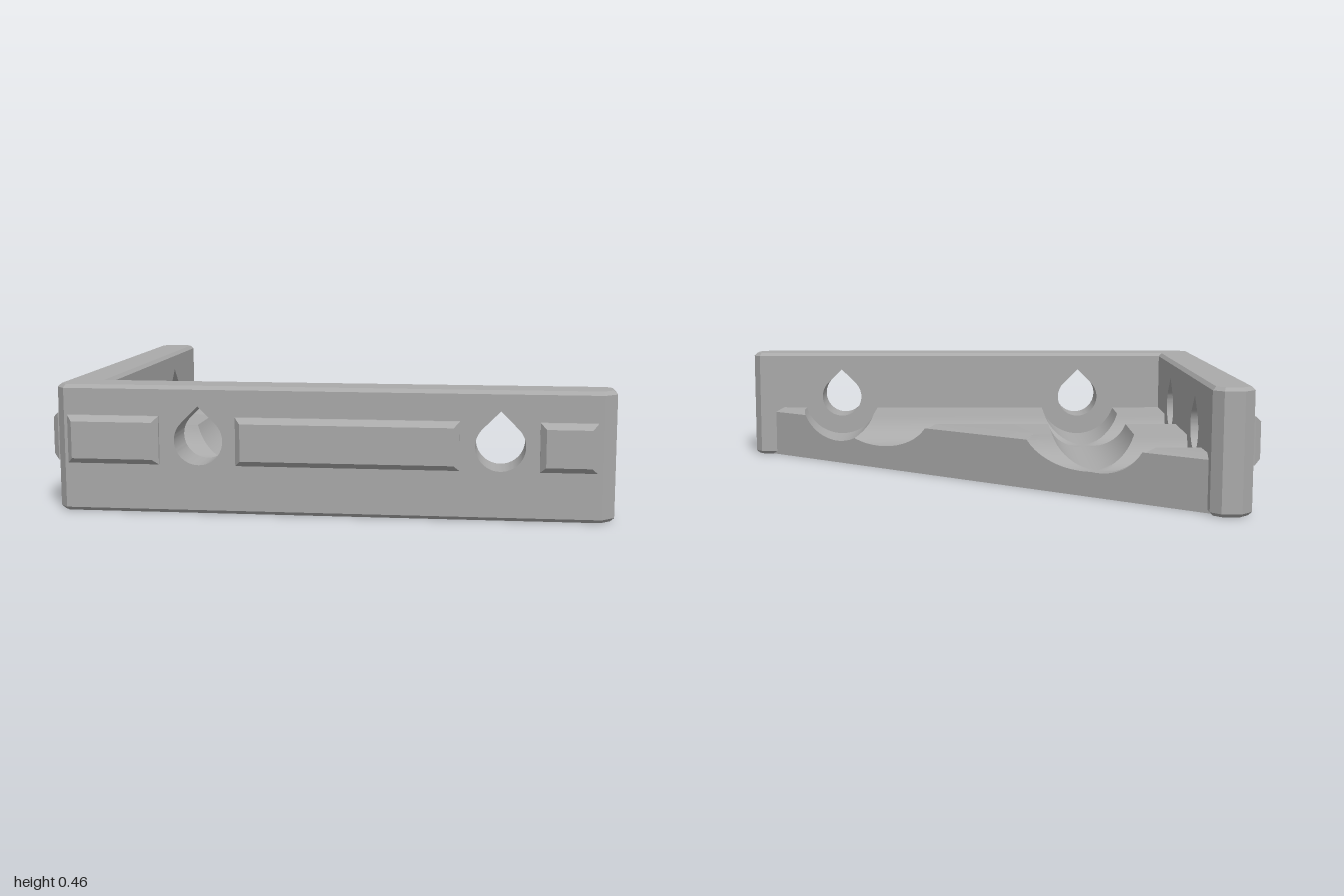
import * as THREE from 'three';
import { toCreasedNormals } from 'three/addons/utils/BufferGeometryUtils.js';

const plastic = new THREE.MeshStandardMaterial({ color: 0xaaaaaa });
plastic.name = 'grey plastic';

const HEIGHT = 0.457, BEVEL = 0.013;
const HOLE_Y = 0.262, HOLE_R = 0.087;
const GROOVE_R = 0.167, GROOVE_HALF = 0.159;
const FLOOR_Y = 0.215, RIM_Y = 0.192, RIM_W = 0.022;
const X_HOLES = [-0.455, 0.605], Z_HOLES = [-0.38, 0.225];

function mesh(name, geometry) {
  const m = new THREE.Mesh(toCreasedNormals(geometry, 0.45), plastic);
  m.name = name;
  return m;
}

const shapeOf = (pts) => new THREE.Shape(pts.map(([a, b]) => new THREE.Vector2(a, b)));

// Vertical prism over an [x, z] footprint
function upright(name, footprint, y, height, bevel = 0) {
  const g = new THREE.ExtrudeGeometry(shapeOf(footprint.map(([x, z]) => [x, -z])), {
    depth: height, bevelEnabled: bevel > 0, bevelThickness: bevel,
    bevelSize: bevel, bevelOffset: -bevel, bevelSegments: 1,
  });
  g.rotateX(-Math.PI / 2).translate(0, y, 0);
  return mesh(name, g);
}

const rect = (u0, u1, y0, y1) => shapeOf([[u0, y0], [u1, y0], [u1, y1], [u0, y1]]);

// Wall panel with teardrop screw holes, facing +z
function panel(name, u0, u1, w0, w1, holes) {
  const s = rect(u0, u1, BEVEL, HEIGHT - BEVEL);
  for (const u of holes) {
    const p = new THREE.Path();
    p.absarc(u, HOLE_Y, HOLE_R, Math.PI * 0.75, Math.PI * 2.25, false);
    p.lineTo(u, HOLE_Y + HOLE_R * Math.SQRT2);
    p.closePath();
    s.holes.push(p);
  }
  const g = new THREE.ExtrudeGeometry(s, { depth: w1 - w0, bevelEnabled: false, curveSegments: 28 });
  return mesh(name, g.translate(0, 0, w0));
}

// Raised key with sloping edges, facing +z
function key(name, u0, u1, w) {
  const g = new THREE.ExtrudeGeometry(rect(u0, u1, 0.177, 0.349), {
    depth: 0.02, bevelThickness: 0.022, bevelSize: 0.02, bevelOffset: -0.02, bevelSegments: 1,
  });
  return mesh(name, g.translate(0, 0, w - 0.012));
}

// Distance inside the sloping open edge of the floor
const inside = ([x, z]) => (z + 0.69 - 0.74 * (x + 0.82)) / 1.244;

// Floor height: flat, cut by round grooves both ways, chamfered at the open edge
function floorHeight([x, z]) {
  let y = Math.min(FLOOR_Y, RIM_Y + Math.max(0, inside([x, z])) * (FLOOR_Y - RIM_Y) / RIM_W);
  const cut = (d) => {
    if (Math.abs(d) < GROOVE_HALF + 1e-6) y = Math.min(y, HOLE_Y - Math.sqrt(GROOVE_R ** 2 - d * d));
  };
  X_HOLES.forEach((c) => cut(x - c));
  Z_HOLES.forEach((c) => cut(z - c));
  return y;
}

// Keep the part of a polygon where f >= 0
function clip(poly, f) {
  const out = [];
  poly.forEach((p, i) => {
    const q = poly[(i + 1) % poly.length], a = f(p), b = f(q);
    if (a >= 0) out.push(p);
    if ((a > 0 && b < 0) || (a < 0 && b > 0)) {
      const t = a / (a - b);
      out.push([p[0] + (q[0] - p[0]) * t, p[1] + (q[1] - p[1]) * t]);
    }
  });
  return out;
}

function groovedFloor() {
  const pos = [];
  const tri = (...v) => v.forEach((p) => pos.push(...p));
  const steps = (lo, centres, hi) => {
    const list = [lo], phi = Math.asin(GROOVE_HALF / GROOVE_R), n = 20;
    for (const c of centres) {
      for (let i = 0; i <= n; i++) list.push(c + GROOVE_R * Math.sin(phi * (2 * i / n - 1)));
    }
    return [...list, hi];
  };
  const nearest = (v, list) => v - list.reduce((a, b) => (Math.abs(v - a) < Math.abs(v - b) ? a : b));
  const low = ([x, z]) => [x, 0, z];
  const high = (p) => [p[0], floorHeight(p), p[1]];

  // Top surface and the upright face along the open edge
  function addPiece(poly) {
    for (let i = 1; i + 1 < poly.length; i++) tri(high(poly[0]), high(poly[i]), high(poly[i + 1]));
    poly.forEach((p, i) => {
      const q = poly[(i + 1) % poly.length];
      if (Math.abs(inside(p)) > 1e-6 || Math.abs(inside(q)) > 1e-6) return;
      tri(low(p), low(q), high(q));
      tri(low(p), high(q), high(p));
    });
  }
  const xs = steps(-0.9, X_HOLES, 1.0), zs = steps(-0.77, Z_HOLES, 0.65);
  for (let i = 0; i + 1 < xs.length; i++) {
    for (let j = 0; j + 1 < zs.length; j++) {
      const a = [xs[i], zs[j]], b = [xs[i], zs[j + 1]];
      const c = [xs[i + 1], zs[j + 1]], d = [xs[i + 1], zs[j]];
      const mx = nearest((a[0] + c[0]) / 2, X_HOLES), mz = nearest((a[1] + c[1]) / 2, Z_HOLES);
      const halves = mx * mz > 0 ? [[a, b, c], [a, c, d]] : [[a, b, d], [b, c, d]];
      for (const half of halves) {
        addPiece(clip(half, (p) => inside(p) - RIM_W));
        addPiece(clip(clip(half, inside), (p) => RIM_W - inside(p)));
      }
    }
  }
  // Underside
  const under = clip([[-0.9, -0.77], [-0.9, 0.65], [1.0, 0.65], [1.0, -0.77]], inside);
  for (let i = 1; i + 1 < under.length; i++) tri(low(under[0]), low(under[i + 1]), low(under[i]));

  const g = new THREE.BufferGeometry();
  g.setAttribute('position', new THREE.Float32BufferAttribute(pos, 3));
  return mesh('groovedFloor', g);
}

export function createModel() {
  const model = new THREE.Group();
  model.name = 'cornerBracket';

  // Footprints of the wall corner and the two wall ends
  const corner = [[-0.97, 0.585], [-0.97, 0.705], [-0.94, 0.737], [-0.82, 0.737]];
  const frontEnd = [[0.955, 0.737], [1, 0.695], [1, 0.615], [0.972, 0.585]];
  const sideEnd = [[-0.82, -0.735], [-0.855, -0.77], [-0.928, -0.77], [-0.97, -0.728]];
  const outline = [...corner.slice(1, 3), ...frontEnd, [-0.82, 0.585], ...sideEnd];
  const mid = HEIGHT - 2 * BEVEL;

  model.add(
    upright('cornerPost', [...corner, [-0.82, 0.585]], BEVEL, mid),
    upright('frontWallEnd', [...frontEnd, [0.9, 0.585], [0.9, 0.737]], BEVEL, mid),
    upright('sideWallEnd', [...sideEnd, [-0.97, -0.7], [-0.82, -0.7]], BEVEL, mid),
    upright('topRim', outline, HEIGHT - BEVEL - 0.001, 0.001, BEVEL),
    upright('bottomRim', outline, BEVEL, 0.001, BEVEL),
    groovedFloor(),
  );

  // Front wall
  const front = new THREE.Group();
  front.name = 'frontWall';
  front.add(panel('frontPanel', -0.82, 0.9, 0.585, 0.737, X_HOLES));
  for (const [a, b] of [[-0.925, -0.595], [-0.32, 0.465], [0.74, 0.935]]) {
    front.add(key('frontKey', a, b, 0.74));
  }

  // Side wall, laid out along z and turned to face -x
  const side = new THREE.Group();
  side.name = 'sideWall';
  side.add(panel('sidePanel', -0.7, 0.585, 0.82, 0.97, Z_HOLES));
  for (const [a, b] of [[-0.715, -0.52], [-0.25, 0.085], [0.36, 0.695]]) {
    side.add(key('sideKey', a, b, 0.97));
  }
  side.rotation.y = -Math.PI / 2;

  model.add(front, side);
  return model;
}
